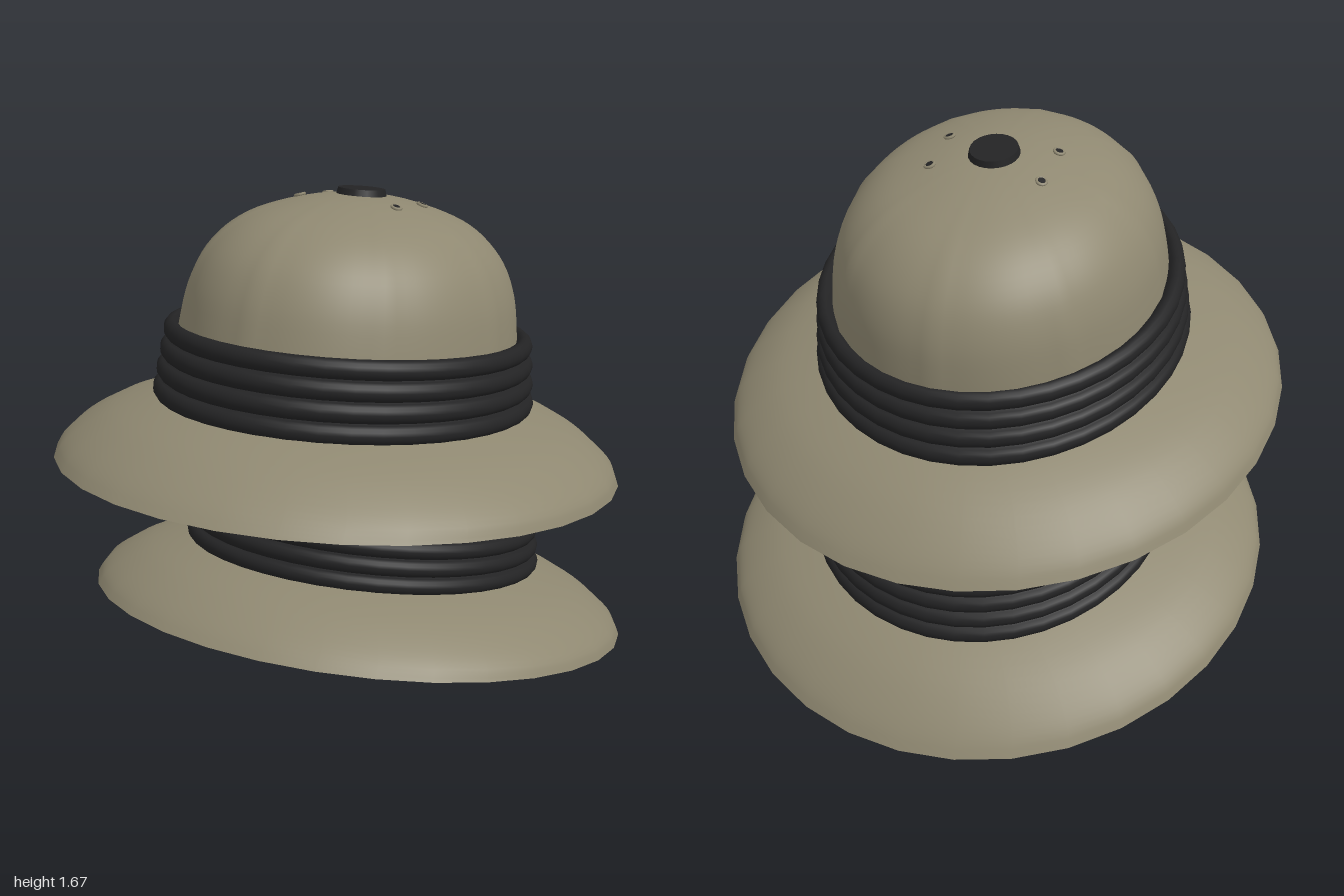
import * as THREE from 'three';

const cloth = new THREE.MeshStandardMaterial({ color: 0x8f8871 });
cloth.name = 'khaki cloth';
const black = new THREE.MeshStandardMaterial({ color: 0x232324 });
black.name = 'black band';

// Surface through oval rings [half width, half depth, height]; faces outward when listed from top to bottom
function ovalSurface(rings, sides, bump = () => 1) {
  const pos = [], index = [];
  rings.forEach(([rx, rz, y], i) => {
    for (let j = 0; j < sides; j++) {
      const a = (j / sides) * Math.PI * 2;
      const k = bump(a, y);
      pos.push(rx * k * Math.sin(a), y, rz * k * Math.cos(a));
      if (i === rings.length - 1) continue;
      const p = i * sides + j, q = i * sides + ((j + 1) % sides);
      index.push(p, p + sides, q + sides, p, q + sides, q);
    }
  });
  const g = new THREE.BufferGeometry();
  g.setAttribute('position', new THREE.Float32BufferAttribute(pos, 3));
  g.setIndex(index);
  g.computeVertexNormals();
  return g;
}

// Smooths a short list of rings
function smooth(rings, n) {
  const curve = new THREE.CatmullRomCurve3(rings.map(r => new THREE.Vector3(...r)));
  return curve.getPoints(n).map(p => [Math.max(p.x, 0), Math.max(p.y, 0), p.z]);
}

// Dome radius and height pairs, along the depth
const RATIO = 0.85;
const dome = [[0.002, 0.878], [0.15, 0.866], [0.3, 0.832], [0.41, 0.79], [0.49, 0.735],
  [0.55, 0.665], [0.59, 0.575], [0.61, 0.475], [0.62, 0.38], [0.63, 0.2]];
const domeRings = (shrink, drop) => dome.map(([r, y]) => [Math.max(r - shrink, 0.001) * RATIO, Math.max(r - shrink, 0.001), y - drop]);

const brim = [[0.5, 0.6, 0.225], [0.6, 0.7, 0.2], [0.74, 0.81, 0.152], [0.84, 0.9, 0.09],
  [0.89, 0.955, 0.04], [0.905, 0.988, 0]];
const brimInside = [[0.885, 0.965, 0], [0.865, 0.93, 0.035], [0.81, 0.875, 0.08],
  [0.71, 0.785, 0.13], [0.58, 0.68, 0.175], [0.52, 0.62, 0.215]];

// Eight raised seams that fade in toward the crown's lower edge
function seams(a, y) {
  const step = Math.PI / 4;
  const d = Math.abs(a / step - Math.round(a / step)) * step;
  return 1 + 0.014 * Math.exp(-((d / 0.06) ** 2)) + 0.008 * Math.abs(Math.sin(a * 4)) - 0.005;
}

// Four stacked coils as one scalloped wall
function bandRings() {
  const rings = [[0.52, 0.605, 0.425], [0.535, 0.62, 0.446]];
  const coils = 4, top = 0.452, bottom = 0.2, h = (top - bottom) / coils;
  for (let c = 0; c < coils; c++) {
    const out = 0.008 * c;
    for (let s = c ? 1 : 0; s <= 8; s++) {
      const t = (s / 8) * Math.PI;
      const r = 0.03 * Math.sin(t);
      rings.push([0.55 + out * 0.8 + r, 0.626 + out * 1.3 + r, top - c * h - (h / 2) * (1 - Math.cos(t))]);
    }
  }
  return rings;
}

function createHat() {
  const hat = new THREE.Group();
  const add = (name, geometry, material) => {
    const m = new THREE.Mesh(geometry, material);
    m.name = name;
    hat.add(m);
    return m;
  };

  add('crown', ovalSurface(smooth(domeRings(0, 0), 30), 96, seams), cloth);
  add('brim', ovalSurface(smooth(brim, 16), 32), cloth);
  add('brimLip', ovalSurface([brim[5], brimInside[0]], 32), cloth);

  // Hollow inside, listed from the rim up
  const inside = [...brimInside, ...domeRings(0.025, 0.025).reverse().slice(1)];
  add('lining', ovalSurface(smooth(inside, 40), 32), cloth);

  add('hatBand', ovalSurface(bandRings(), 40), black);

  // Button on top
  const button = add('topButton', new THREE.CylinderGeometry(0.074, 0.08, 0.024, 24), black);
  button.scale.z = 1.08;
  button.position.y = 0.881;

  // Vent eyelets
  for (const sx of [-1, 1]) for (const sz of [-1, 1]) {
    const eyelet = new THREE.Group();
    eyelet.name = 'ventEyelet';
    const ring = new THREE.Mesh(new THREE.TorusGeometry(0.015, 0.005, 6, 14), cloth);
    ring.name = 'eyeletRing';
    const hole = new THREE.Mesh(new THREE.CylinderGeometry(0.012, 0.012, 0.008, 12), black);
    hole.name = 'eyeletHole';
    hole.rotation.x = Math.PI / 2;
    eyelet.add(ring, hole);
    eyelet.position.set(sx * 0.178, 0.856, sz * 0.085);
    eyelet.lookAt(sx * 0.25, 1.1, sz * 0.11);
    hat.add(eyelet);
  }
  return hat;
}

// Leans a hat back, squeezing and shearing its local shape first
function placeHat(name, tilt, y, z, scaleY, scaleZ, shear) {
  const hat = createHat();
  hat.name = name;
  const shape = new THREE.Matrix4().set(
    1, 0, 0, 0,
    0, scaleY, 0, 0,
    0, shear, scaleZ, 0,
    0, 0, 0, 1);
  hat.children.forEach(part => part.traverse(o => {
    if (!o.isMesh) return;
    o.updateWorldMatrix(true, false);
    o.geometry.applyMatrix4(o.matrixWorld).applyMatrix4(shape);
  }));
  hat.traverse(o => {
    o.position.set(0, 0, 0);
    o.rotation.set(0, 0, 0);
    o.scale.set(1, 1, 1);
  });
  hat.rotation.x = -tilt;
  hat.position.set(0, y, z);
  return hat;
}

export function createModel() {
  const model = new THREE.Group();
  model.name = 'stackedSunHelmets';
  model.add(placeHat('lowerHelmet', 0.2266, 0.2075, -0.1, 0.895, 0.935, 0.075));
  model.add(placeHat('upperHelmet', 0.1473, 0.77, 0.0225, 1, 1, 0));
  return model;
}
